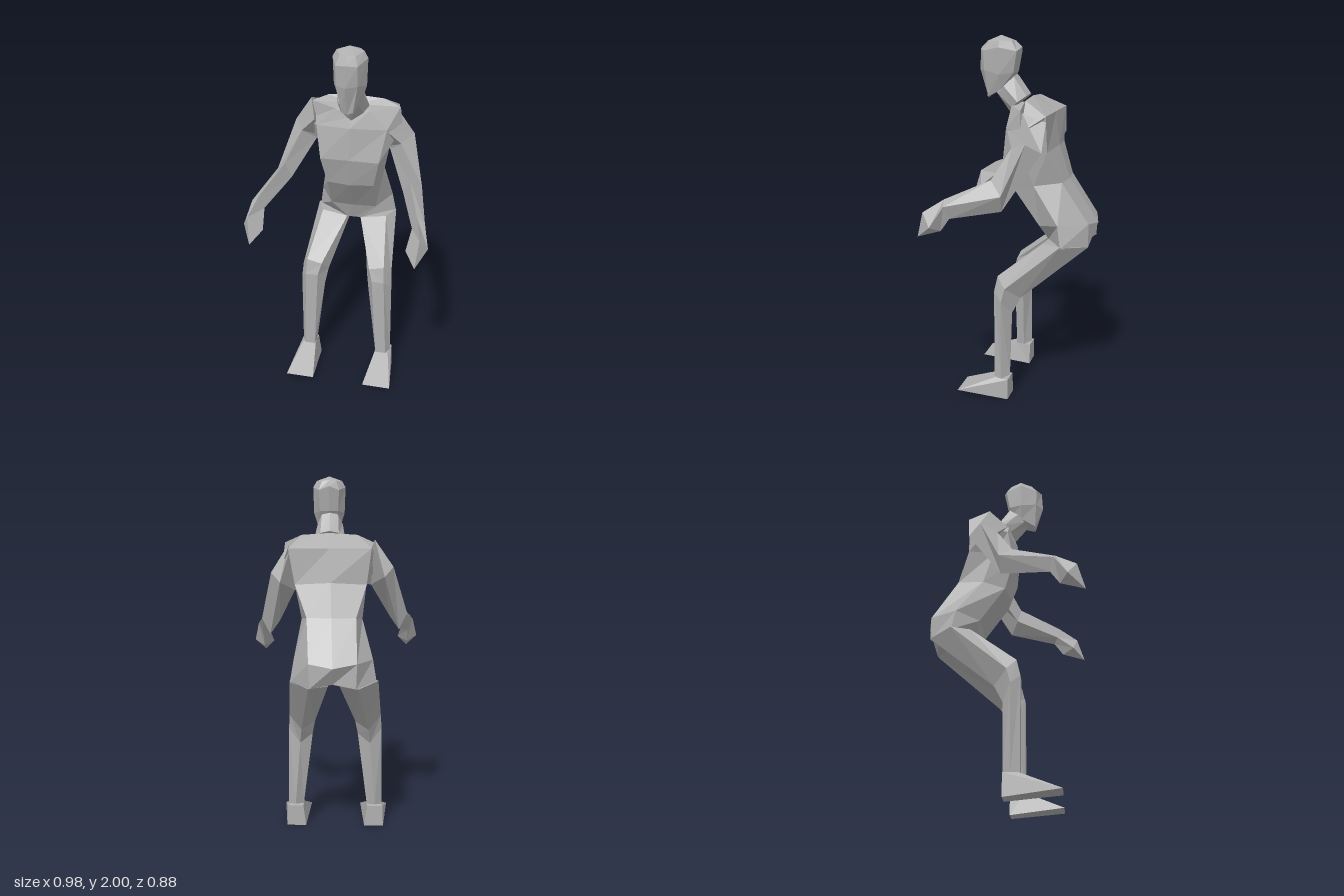
import * as THREE from 'three';

const grey = new THREE.MeshStandardMaterial({ color: 0xb0b0b0, flatShading: true });
grey.name = 'plain grey';

// Skin a closed solid over rings of equal point count, with a fan cap at each end.
function loft(name, rings, apex) {
  const n = rings[0].length, pts = rings.flat(), idx = [];
  const centre = r => [0, 1, 2].map(k => r.reduce((s, p) => s + p[k], 0) / n);
  const last = (rings.length - 1) * n, lo = pts.length, hi = lo + 1;
  const all = [...pts, centre(rings[0]), apex || centre(rings[rings.length - 1])];
  for (let j = 0; j < n; j++) {
    const k = (j + 1) % n;
    for (let r = 0; r < last; r += n) idx.push([r + j, r + k, r + n + k], [r + j, r + n + k, r + n + j]);
    idx.push([lo, k, j], [hi, last + j, last + k]);
  }
  // Turn the faces outward, whichever way the rings run
  const v = all.map(p => new THREE.Vector3(...p)), o = v[lo];
  const volume = idx.reduce((s, [a, b, c]) => {
    const A = v[a].clone().sub(o), B = v[b].clone().sub(o), C = v[c].clone().sub(o);
    return s + A.dot(B.cross(C));
  }, 0);
  const tris = volume < 0 ? idx.map(([a, b, c]) => [a, c, b]) : idx;
  const geo = new THREE.BufferGeometry();
  geo.setAttribute('position', new THREE.Float32BufferAttribute(tris.flat().flatMap(i => all[i]), 3));
  geo.computeVertexNormals();
  const mesh = new THREE.Mesh(geo, grey);
  mesh.name = name;
  return mesh;
}

// Mirror a half ring (front centre round to back centre) and shift it sideways.
const whole = (half, dx = 0) => [
  ...half.map(([x, y, z]) => [x + dx, y, z]),
  ...half.slice(1, -1).reverse().map(([x, y, z]) => [dx - x, y, z]),
];

export function createModel() {
  const model = new THREE.Group();
  model.name = 'crouching figure';

  // Torso, pelvis up to the shoulders
  const torso = [
    [[0, 0.9, -0.17], [0.04, 0.9, -0.17], [0.23, 0.91, -0.28], [0.12, 0.9, -0.41], [0, 0.92, -0.39]],
    [[0, 1.0, -0.13], [0.13, 1.0, -0.14], [0.21, 1.03, -0.26], [0.125, 1.03, -0.41], [0, 1.01, -0.44]],
    [[0, 1.2, 0.02], [0.13, 1.2, 0], [0.165, 1.23, -0.12], [0.13, 1.25, -0.265], [0, 1.25, -0.28]],
    [[0, 1.37, 0.07], [0.16, 1.36, 0.05], [0.19, 1.4, -0.06], [0.19, 1.42, -0.2], [0, 1.43, -0.22]],
    [[0, 1.55, 0.065], [0.19, 1.54, 0.02], [0.26, 1.53, -0.08], [0.22, 1.61, -0.2], [0, 1.61, -0.2]],
    [[0, 1.61, 0.045], [0.09, 1.64, 0.02], [0.24, 1.64, -0.075], [0.15, 1.68, -0.075], [0, 1.69, -0.075]],
  ];
  const lean = [0, 0, 0.01, 0.015, 0.02, 0.025];
  model.add(loft('torso', torso.map((h, i) => whole(h, lean[i]))));

  // Neck
  model.add(loft('neck', [
    [[0, 1.59, 0.05], [0.06, 1.63, 0.03], [0.085, 1.66, -0.01], [0.05, 1.69, -0.05], [0, 1.7, -0.06]],
    [[0, 1.7, 0.13], [0.05, 1.7, 0.11], [0.07, 1.74, 0.07], [0.045, 1.79, 0.02], [0, 1.8, 0.015]],
  ].map(h => whole(h, 0.025))));

  // Head, chin up to the crown
  model.add(loft('head', [
    [[0, 1.67, 0.175], [0.03, 1.68, 0.17], [0.06, 1.72, 0.09], [0.04, 1.77, 0.04], [0, 1.78, 0.03]],
    [[0, 1.82, 0.22], [0.055, 1.82, 0.18], [0.085, 1.8, 0.09], [0.05, 1.81, 0.02], [0, 1.81, 0.01]],
    [[0, 1.93, 0.215], [0.055, 1.92, 0.185], [0.09, 1.94, 0.09], [0.055, 1.92, 0], [0, 1.94, -0.015]],
    [[0, 1.97, 0.175], [0.04, 1.965, 0.155], [0.07, 1.975, 0.09], [0.04, 1.97, 0.03], [0, 1.975, 0.03]],
  ].map(h => whole(h, 0.03)), [0.03, 2, 0.1]));

  // Limb sections for one side; each ring runs outer, back, inner, front
  const arm = [
    [[0.22, 1.645, -0.08], [0.21, 1.6, -0.2], [0.17, 1.41, -0.12], [0.18, 1.56, 0.02]],
    [[0.32, 1.5, -0.12], [0.27, 1.45, -0.19], [0.2, 1.405, -0.1], [0.265, 1.47, -0.03]],
    [[0.405, 1.24, -0.01], [0.36, 1.15, 0], [0.31, 1.22, 0.04], [0.34, 1.31, 0.06]],
    [[0.46, 1.18, 0.28], [0.43, 1.11, 0.26], [0.395, 1.14, 0.28], [0.42, 1.21, 0.29]],
  ];
  const hand = [
    arm[3],
    [[0.49, 1.07, 0.35], [0.43, 1.04, 0.31], [0.378, 1.06, 0.375], [0.45, 1.14, 0.4]],
  ];
  const leg = [
    [[0.04, 0.9, -0.17], [0.19, 0.92, -0.18], [0.235, 0.92, -0.28], [0.13, 0.9, -0.41], [0.03, 0.9, -0.33]],
    [[0.14, 0.7, 0.07], [0.225, 0.72, 0.07], [0.262, 0.66, 0.02], [0.19, 0.59, -0.05], [0.115, 0.63, 0]],
    [[0.16, 0.63, 0.09], [0.23, 0.63, 0.09], [0.268, 0.58, 0.04], [0.2, 0.5, -0.005], [0.13, 0.55, 0.03]],
    [[0.19, 0.12, 0.085], [0.25, 0.12, 0.085], [0.272, 0.12, 0.04], [0.23, 0.13, 0], [0.185, 0.12, 0.04]],
  ];
  const foot = [
    [[0.15, 0.03, 0.29], [0.312, 0.03, 0.29], [0.28, 0, 0], [0.17, 0, 0]],
    [[0.185, 0.12, 0.08], [0.265, 0.12, 0.08], [0.275, 0.12, 0], [0.185, 0.12, 0]],
  ];

  // Arms, hands, legs and feet on both sides; the left shoulder sits lower and wider
  for (const [side, s] of [['left', 1], ['right', -1]]) {
    const drop = s > 0 ? -0.02 : 0.01, wide = s > 0 ? 0.03 : 0;
    const armPoint = ([x, y, z]) => [s * (x + wide * Math.max(0, (y - 1.25) / 0.4)), y + drop, z];
    const legPoint = ([x, y, z]) => [s * x - 0.004, y, z];
    const place = (rings, f) => rings.map(r => r.map(f));
    model.add(
      loft(side + 'Arm', place(arm, armPoint)),
      loft(side + 'Hand', place(hand, armPoint), armPoint([0.435, 1.0, 0.44])),
      loft(side + 'Leg', place(leg, legPoint)),
      loft(side + 'Foot', place(foot, legPoint)),
    );
  }
  return model;
}
